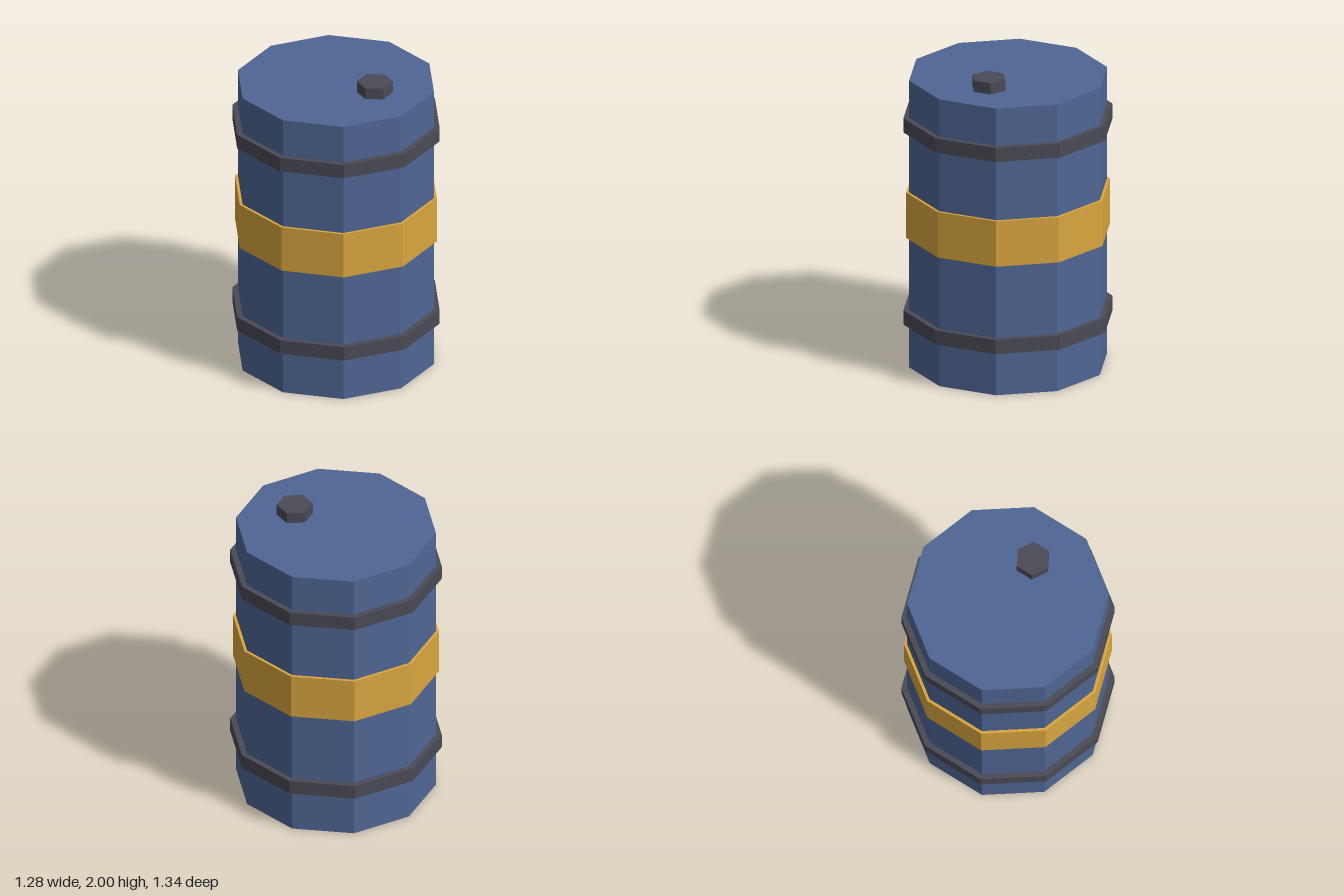
import * as THREE from 'three';

export function createModel() {
  const barrel = new THREE.Group();
  barrel.name = 'barrel';

  const paint = (color) => {
    const material = new THREE.MeshStandardMaterial({ color, flatShading: true });
    return material;
  };
  const blue = paint(0x4f6694);
  const dark = paint(0x4a4a55);
  const yellow = paint(0xd9a63f);

  // Upright prism from one height to another, with a corner facing +z
  const addPrism = (name, radius, bottom, top, material, sides = 10, x = 0) => {
    const geometry = new THREE.CylinderGeometry(radius, radius, top - bottom, sides);
    const mesh = new THREE.Mesh(geometry, material);
    mesh.name = name;
    mesh.position.set(x, (bottom + top) / 2, 0);
    barrel.add(mesh);
  };

  // Drum body
  addPrism('body', 0.635, 0, 1.925, blue);

  // Raised hoops
  addPrism('lowerHoop', 0.672, 0.29, 0.385, dark);
  addPrism('upperHoop', 0.672, 1.58, 1.675, dark);

  // Painted band round the middle
  addPrism('middleBand', 0.654, 0.87, 1.175, yellow);

  // Six-sided filler cap, off centre on the lid
  addPrism('fillerCap', 0.114, 1.92, 2, dark, 6, 0.288);

  return barrel;
}
